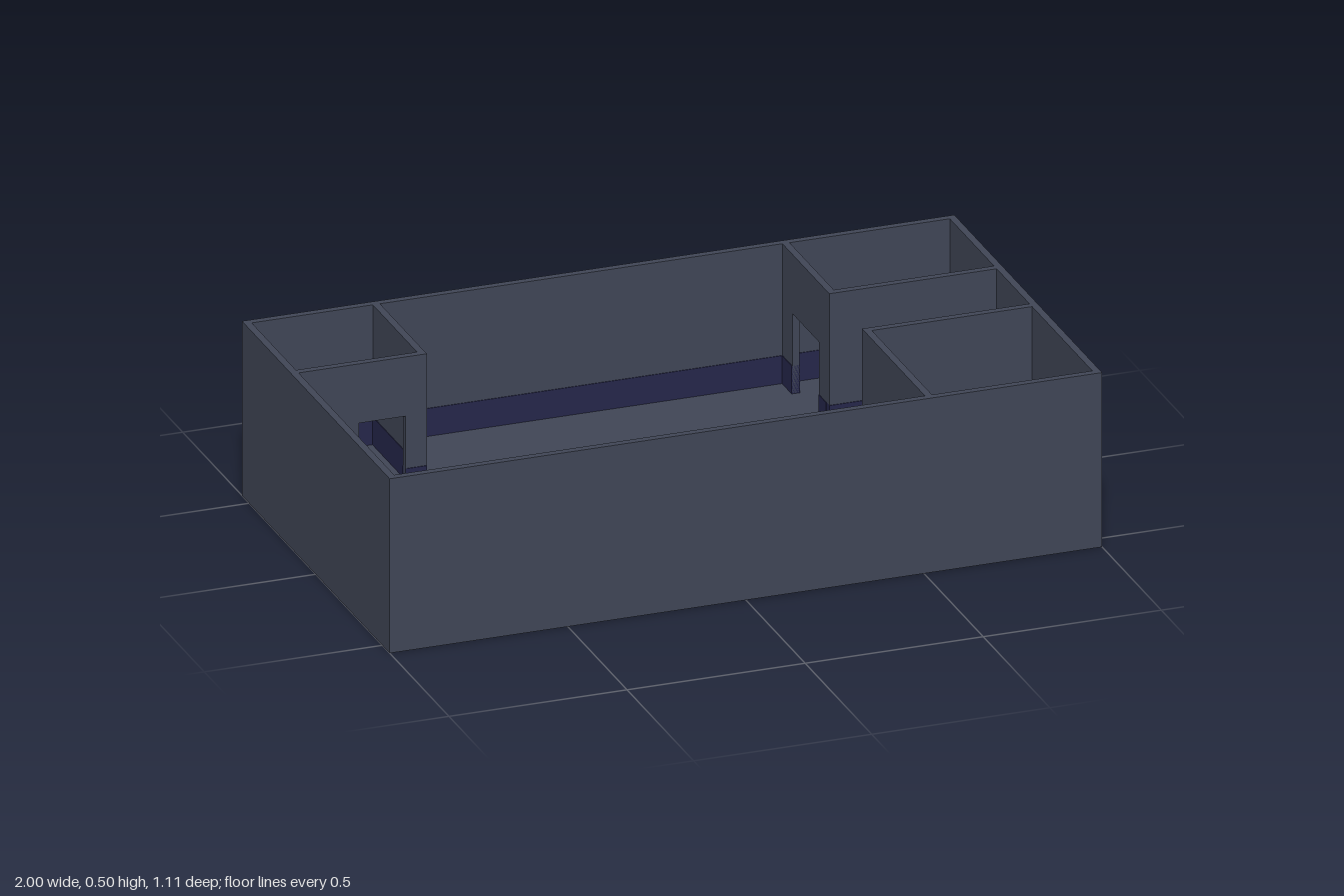
import * as THREE from 'three';

const HX = 1, HZ = 0.555, TOP = 0.5, FLOOR = 0.1, BAND = 0.18, DOOR = 0.33, T = 0.02, LIP = 0.002;

export function createModel() {
  const group = new THREE.Group();
  const slate = new THREE.MeshStandardMaterial({ color: 0x404656 });
  const navy = new THREE.MeshStandardMaterial({ color: 0x25264a });

  const box = (name, mat, x0, x1, y0, y1, z0, z1) => {
    const mesh = new THREE.Mesh(new THREE.BoxGeometry(x1 - x0, y1 - y0, z1 - z0), mat);
    mesh.position.set((x0 + x1) / 2, (y0 + y1) / 2, (z0 + z1) / 2);
    mesh.name = name;
    group.add(mesh);
  };

  // Wall from a to b along one axis, centred at c on the other, with an optional doorway [d0, d1]
  const partition = (name, axis, a, b, c, door) => {
    const outline = [[a, FLOOR]];
    if (door) outline.push([door[0], FLOOR], [door[0], DOOR], [door[1], DOOR], [door[1], FLOOR]);
    outline.push([b, FLOOR], [b, TOP], [a, TOP]);
    // Walls along z are drawn with the outline mirrored, then turned a quarter
    const s = axis === 'x' ? 1 : -1;
    const shape = new THREE.Shape(outline.map(([u, v]) => new THREE.Vector2(u * s, v)));
    const geo = new THREE.ExtrudeGeometry(shape, { depth: T, bevelEnabled: false });
    geo.translate(0, 0, -T / 2);
    if (axis === 'z') geo.rotateY(Math.PI / 2);
    geo.translate(axis === 'z' ? c : 0, 0, axis === 'x' ? c : 0);
    const mesh = new THREE.Mesh(geo, slate);
    mesh.name = name;
    group.add(mesh);

    // Skirting on both faces, interrupted by the doorway
    const runs = door ? [[a, door[0]], [door[1], b]] : [[a, b]];
    const h = T / 2 + LIP;
    for (const [u0, u1] of runs) {
      if (axis === 'x') box(name + 'Skirting', navy, u0, u1, FLOOR, BAND, c - h, c + h);
      else box(name + 'Skirting', navy, c - h, c + h, FLOOR, BAND, u0, u1);
    }
  };

  // Floor slab and the four outer walls with inside skirting
  box('floor', slate, -HX, HX, 0, FLOOR, -HZ, HZ);
  const ix = HX - T, iz = HZ - T;
  for (const [side, s] of [['left', 1], ['right', -1]]) {
    const span = (p, q) => [Math.min(s * p, s * q), Math.max(s * p, s * q)];
    box(side + 'Wall', slate, ...span(ix, HX), FLOOR, TOP, -HZ, HZ);
    box(side + 'Skirting', navy, ...span(ix - LIP, ix), FLOOR, BAND, -iz, iz);
  }
  for (const [side, s] of [['front', 1], ['back', -1]]) {
    const span = (p, q) => [Math.min(s * p, s * q), Math.max(s * p, s * q)];
    box(side + 'Wall', slate, -ix, ix, FLOOR, TOP, ...span(iz, HZ));
    box(side + 'Skirting', navy, -ix, ix, FLOOR, BAND, ...span(iz - LIP, iz));
  }

  // Back right room, door in its front wall
  partition('backRightRoomFront', 'x', -ix, -0.62, -0.193, [-0.81, -0.68]);
  partition('backRightRoomSide', 'z', -iz, -0.203, -0.63);

  // Back left room, door in its side wall
  partition('backLeftRoomFront', 'x', 0.51, ix, -0.193);
  partition('backLeftRoomSide', 'z', -iz, -0.203, 0.52, [-0.46, -0.26]);

  // Front left room, wide door in its side wall
  partition('frontLeftRoomBack', 'x', 0.51, ix, 0.073);
  partition('frontLeftRoomSide', 'z', 0.083, iz, 0.52, [0.17, 0.45]);

  return group;
}
